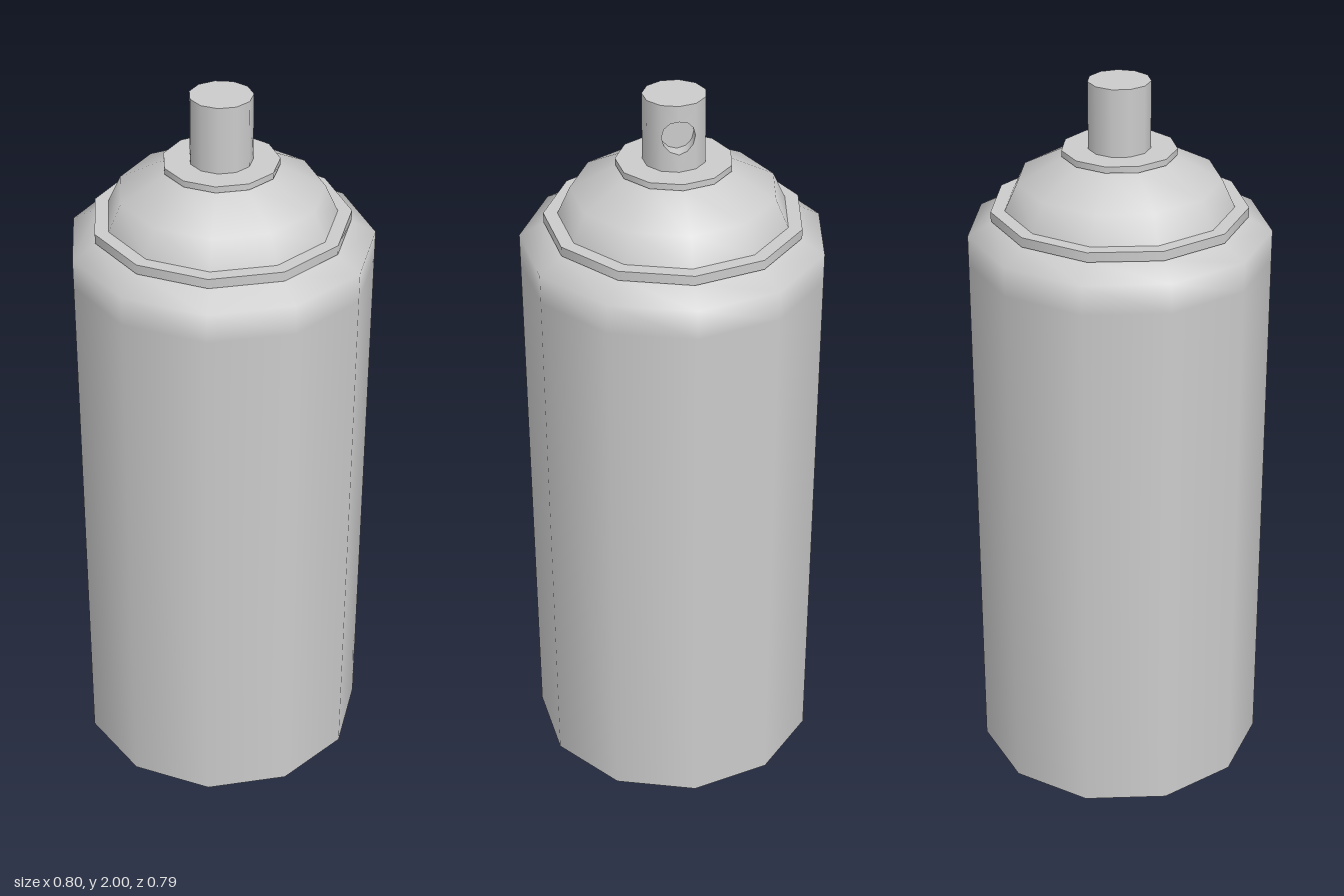
import * as THREE from 'three';

const SIDES = 11;
const STEP = (Math.PI * 2) / SIDES;
const material = new THREE.MeshStandardMaterial({ color: 0xcccccc });

function addMesh(parent, name, geometry) {
  const mesh = new THREE.Mesh(geometry, material);
  mesh.name = name;
  parent.add(mesh);
  return mesh;
}

// Each band is smooth within itself; edges between bands stay sharp.
function turned(name, bands) {
  const part = new THREE.Group();
  part.name = name;
  for (const band of bands) {
    const points = band.map(([r, y]) => new THREE.Vector2(r, y));
    addMesh(part, name + 'Band', new THREE.LatheGeometry(points, SIDES, Math.PI));
  }
  return part;
}

function ring(name, inner, radius, y0, y1) {
  return turned(name, [
    [[inner, y0], [radius, y0]],
    [[radius, y0], [radius, y1]],
    [[radius, y1], [0, y1]],
  ]);
}

// Spray button with a round blind hole drilled into one corner.
function createNozzle() {
  const R = 0.0825, y0 = 1.82, y1 = 2, holeY = 1.913, r = 0.045, floorX = 0.042, N = 12;
  const width = 2 * R * Math.sin(STEP / 2);
  const nozzle = new THREE.Group();
  nozzle.name = 'nozzle';

  const wall = [new THREE.Vector2(R, y0), new THREE.Vector2(R, y1)];
  addMesh(nozzle, 'nozzleWall',
    new THREE.LatheGeometry(wall, SIDES - 2, Math.PI / 2 + STEP, STEP * (SIDES - 2)));
  const top = [new THREE.Vector2(R, y1), new THREE.Vector2(0, y1)];
  addMesh(nozzle, 'nozzleTop', new THREE.LatheGeometry(top, SIDES, Math.PI / 2));

  // Point on the facet beside the +x corner; u runs from the corner to the next one.
  const onFacet = (u, y, side) => new THREE.Vector3(
    R + (R * Math.cos(STEP) - R) * u, y, side * R * Math.sin(STEP) * u);

  // The two facets that share the hole, each with half of it cut away.
  for (const side of [1, -1]) {
    const outline = [[0, y0], [1, y0], [1, y1], [0, y1]].map(([u, y]) => new THREE.Vector2(u, y));
    for (let i = 0; i <= N / 2; i++) {
      const a = Math.PI / 2 - (i * Math.PI * 2) / N;
      const u = Math.max(0, (r * Math.cos(a)) / width);
      outline.push(new THREE.Vector2(u, holeY + r * Math.sin(a)));
    }
    const facet = new THREE.ShapeGeometry(new THREE.Shape(outline));
    const pos = facet.attributes.position, normal = facet.attributes.normal;
    for (let i = 0; i < pos.count; i++) {
      const p = onFacet(pos.getX(i), pos.getY(i), side);
      pos.setXYZ(i, p.x, p.y, p.z);
      p.setY(0).normalize();
      normal.setXYZ(i, p.x, 0, p.z);
    }
    if (side > 0) facet.index.array.reverse();
    addMesh(nozzle, 'nozzleFacet', facet);
  }

  // Hole lining and floor.
  const positions = [], index = [];
  for (let i = 0; i <= N; i++) {
    const a = (i * Math.PI * 2) / N, c = Math.cos(a);
    const p = onFacet(Math.abs(r * c) / width, holeY + r * Math.sin(a), Math.sign(c));
    positions.push(p.x, p.y, p.z, floorX, p.y, p.z);
    if (i < N) {
      const k = i * 2;
      index.push(k, k + 1, k + 2, k + 1, k + 3, k + 2);
    }
  }
  const lining = new THREE.BufferGeometry();
  lining.setAttribute('position', new THREE.Float32BufferAttribute(positions, 3));
  lining.setIndex(index);
  lining.computeVertexNormals();
  addMesh(nozzle, 'holeLining', lining);

  const floor = new THREE.CircleGeometry(r, N).scale(Math.cos(STEP / 2), 1, 1);
  addMesh(nozzle, 'holeFloor', floor.rotateY(Math.PI / 2).translate(floorX, holeY, 0));

  nozzle.rotation.y = -Math.PI / 22;
  return nozzle;
}

export function createModel() {
  const model = new THREE.Group();
  model.name = 'sprayCan';

  // Can with its sloped shoulder
  const body = turned('body', [
    [[0, 0], [0.404, 0]],
    [[0.404, 0], [0.404, 1.52], [0.404, 1.6], [0.333, 1.638]],
  ]);
  body.position.z = 0.008;
  model.add(body);

  // Rim, dome, collar and spray button
  const cap = new THREE.Group();
  cap.name = 'cap';
  cap.position.z = 0.006;
  cap.add(
    ring('rim', 0.3, 0.341, 1.638, 1.664),
    turned('dome', [[[0.304, 1.664], [0.27, 1.738], [0.145, 1.803]]]),
    ring('collar', 0.1, 0.152, 1.803, 1.82),
    createNozzle(),
  );
  model.add(cap);
  return model;
}
